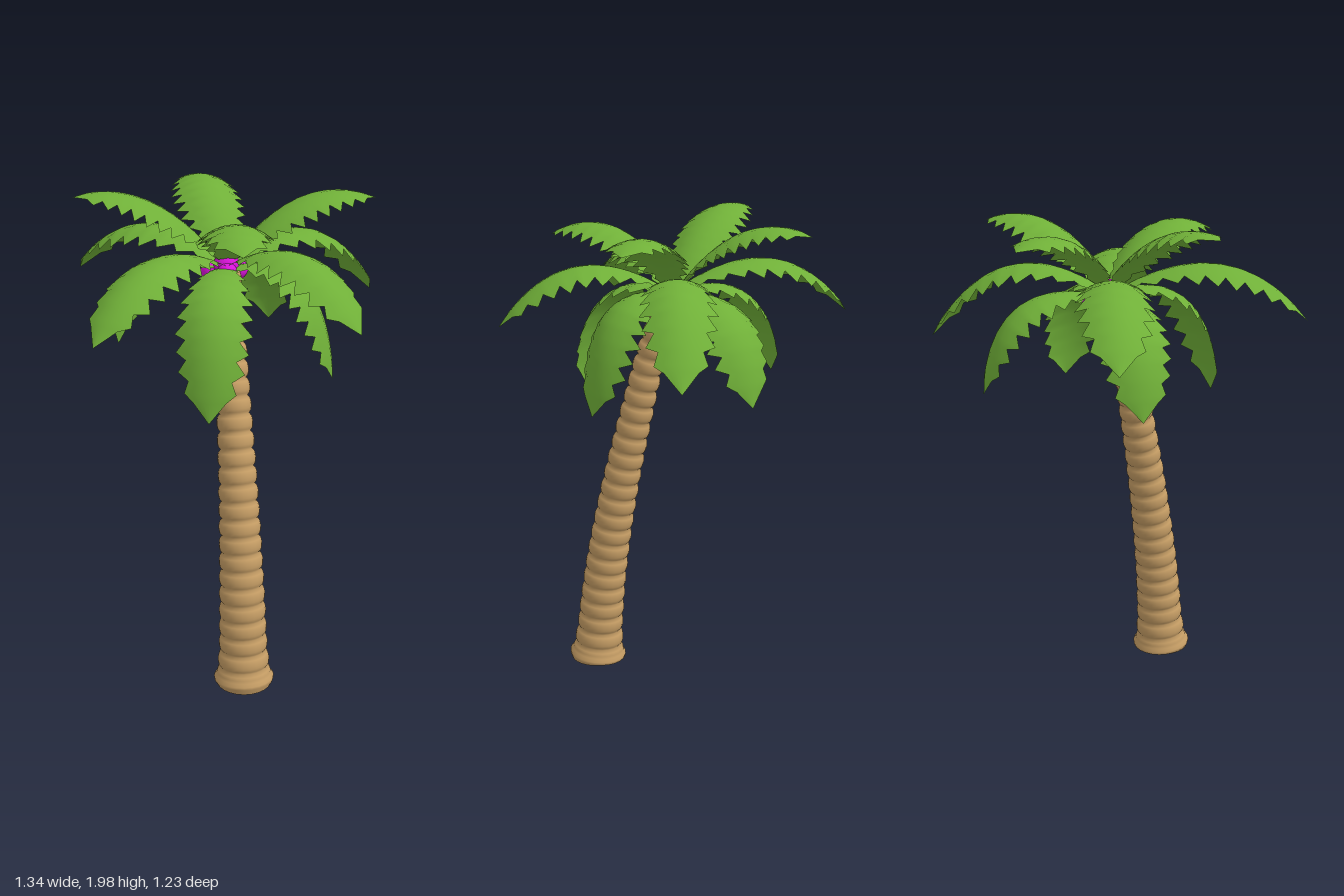
import * as THREE from 'three';
import { mergeVertices } from 'three/addons/utils/BufferGeometryUtils.js';

const V = (x, y, z) => new THREE.Vector3(x, y, z);
const UP = V(0, 1, 0);

// Ringed trunk: a tube of bulging segments that follows a gentle bend.
function trunkGeometry() {
  const rings = 24, steps = 6, sides = 24, rows = rings * steps;
  const path = new THREE.CatmullRomCurve3([
    V(-0.073, 0, 0.36), V(-0.07, 0.4, 0.317), V(-0.065, 0.8, 0.245),
    V(-0.06, 1.2, 0.15), V(-0.055, 1.45, 0.083), V(-0.045, 1.67, 0.005),
  ]);
  const geo = new THREE.CylinderGeometry(1, 1, 1, sides, rows, true);
  const pos = geo.attributes.position;
  for (let i = 0; i < pos.count; i++) {
    const t = pos.getY(i) + 0.5;
    const bulge = Math.abs(Math.sin(Math.PI * t * rings));
    const flare = 0.012 * Math.max(0, 1 - t * 12);
    const foot = t < 0.02 ? 0.01 : 0;
    const r = THREE.MathUtils.lerp(0.093, 0.042, t) + flare + foot + 0.013 * Math.sqrt(bulge);
    const c = path.getPointAt(t), T = path.getTangentAt(t);
    const Z = V(1, 0, 0).cross(T).normalize();
    const X = T.clone().cross(Z);
    const p = c.addScaledVector(X, pos.getX(i) * r).addScaledVector(Z, pos.getZ(i) * r);
    pos.setXYZ(i, p.x, Math.max(0, t < 1e-4 ? 0 : p.y), p.z);
  }
  geo.deleteAttribute('uv');
  geo.deleteAttribute('normal');
  const merged = mergeVertices(geo, 1e-5);
  merged.computeVertexNormals();
  return merged;
}

// Half-width of a frond along its length.
const OUTLINE = [[0, 0.035], [0.15, 0.09], [0.35, 0.135], [0.55, 0.145], [0.75, 0.125], [0.9, 0.085], [1, 0]];
function halfWidth(t) {
  for (let i = 1; i < OUTLINE.length; i++) {
    const [t0, w0] = OUTLINE[i - 1], [t1, w1] = OUTLINE[i];
    if (t <= t1) return THREE.MathUtils.mapLinear(t, t0, t1, w0, w1);
  }
  return 0;
}

// Arched frond with a rounded cross-section and saw-toothed edges.
function frondGeometry(curve, teeth) {
  const cols = 6, stations = [[0, 1]];
  for (let k = 0; k < teeth; k++) {
    if (k > 0) stations.push([k / teeth, 0.74]);
    if (k < teeth - 1) stations.push([(k + 0.62) / teeth, 1.04]);
  }
  stations.push([1, 0]);
  const verts = [], index = [];
  stations.forEach(([t, saw], i) => {
    const c = curve.getPointAt(t), T = curve.getTangentAt(t);
    const side = T.clone().cross(UP).normalize();
    const normal = side.clone().cross(T);
    const w = halfWidth(t) * saw;
    for (let j = 0; j <= cols; j++) {
      const d = w * (j / cols * 2 - 1);
      const p = c.clone().addScaledVector(side, d).addScaledVector(normal, -2.9 * d * d);
      verts.push(p.x, p.y, p.z);
      if (i > 0 && j > 0) {
        const d1 = i * (cols + 1) + j, c1 = d1 - 1, b = d1 - cols - 1, a = b - 1;
        index.push(a, b, c1, b, d1, c1);
      }
    }
  });
  const geo = new THREE.BufferGeometry();
  geo.setAttribute('position', new THREE.Float32BufferAttribute(verts, 3));
  geo.setIndex(index);
  geo.computeVertexNormals();
  return geo;
}

// Three tiers: base height, control point (fraction of reach, height above base), tips.
const TIERS = [
  { name: 'upperFrond', y: 1.72, reach: 0.5, lift: 0.33, teeth: 11,
    tips: [[-0.04, 1.925, -0.575], [0.58, 1.915, 0.0 - 0.02], [-0.625, 1.965, -0.125], [-0.137, 1.87, 0.565]] },
  { name: 'middleFrond', y: 1.70, reach: 0.62, lift: 0.25, teeth: 10,
    tips: [[-0.53, 1.55, -0.615], [0.67, 1.455, -0.28], [-0.67, 1.56, 0.49], [0.3, 1.56, 0.61]] },
  { name: 'lowerFrond', y: 1.68, reach: 0.92, lift: 0.10, teeth: 10,
    tips: [[0.26, 1.31, -0.43], [0.34, 1.24, 0.2], [-0.24, 1.21, 0.46], [-0.43, 1.29, -0.32]] },
];

export function createModel() {
  const bark = new THREE.MeshStandardMaterial({ color: 0xc49c64, side: THREE.DoubleSide });
  bark.name = 'bark';
  const leaf = new THREE.MeshStandardMaterial({ color: 0x70b038, side: THREE.DoubleSide });
  leaf.name = 'leafGreen';
  const fruit = new THREE.MeshStandardMaterial({ color: 0xdc14dc });
  fruit.name = 'fruitMagenta';

  const model = new THREE.Group();
  model.name = 'palmTree';
  const add = (name, geo, mat, parent = model) => {
    const mesh = new THREE.Mesh(geo, mat);
    mesh.name = name;
    parent.add(mesh);
    return mesh;
  };

  add('trunk', trunkGeometry(), bark);

  // Crown of fronds
  const crown = new THREE.Group();
  crown.name = 'crown';
  model.add(crown);
  const cx = -0.043, cz = -0.01;
  for (const tier of TIERS) {
    tier.tips.forEach(([x, y, z], i) => {
      const along = (f, h) => V(cx + (x - cx) * f, h, cz + (z - cz) * f);
      const curve = new THREE.QuadraticBezierCurve3(
        along(0.06, tier.y), along(tier.reach, tier.y + tier.lift), V(x, y, z));
      add(tier.name + (i + 1), frondGeometry(curve, tier.teeth), leaf, crown);
    });
  }

  // Cluster of round fruit under the crown
  const fruits = [
    [-0.043, 1.685, -0.01, 0.052], [0.012, 1.655, -0.045, 0.042],
    [-0.095, 1.655, -0.055, 0.042], [-0.05, 1.665, 0.03, 0.04],
  ];
  fruits.forEach(([x, y, z, r], i) => {
    add('fruit' + (i + 1), new THREE.SphereGeometry(r, 16, 12), fruit).position.set(x, y, z);
  });
  return model;
}
